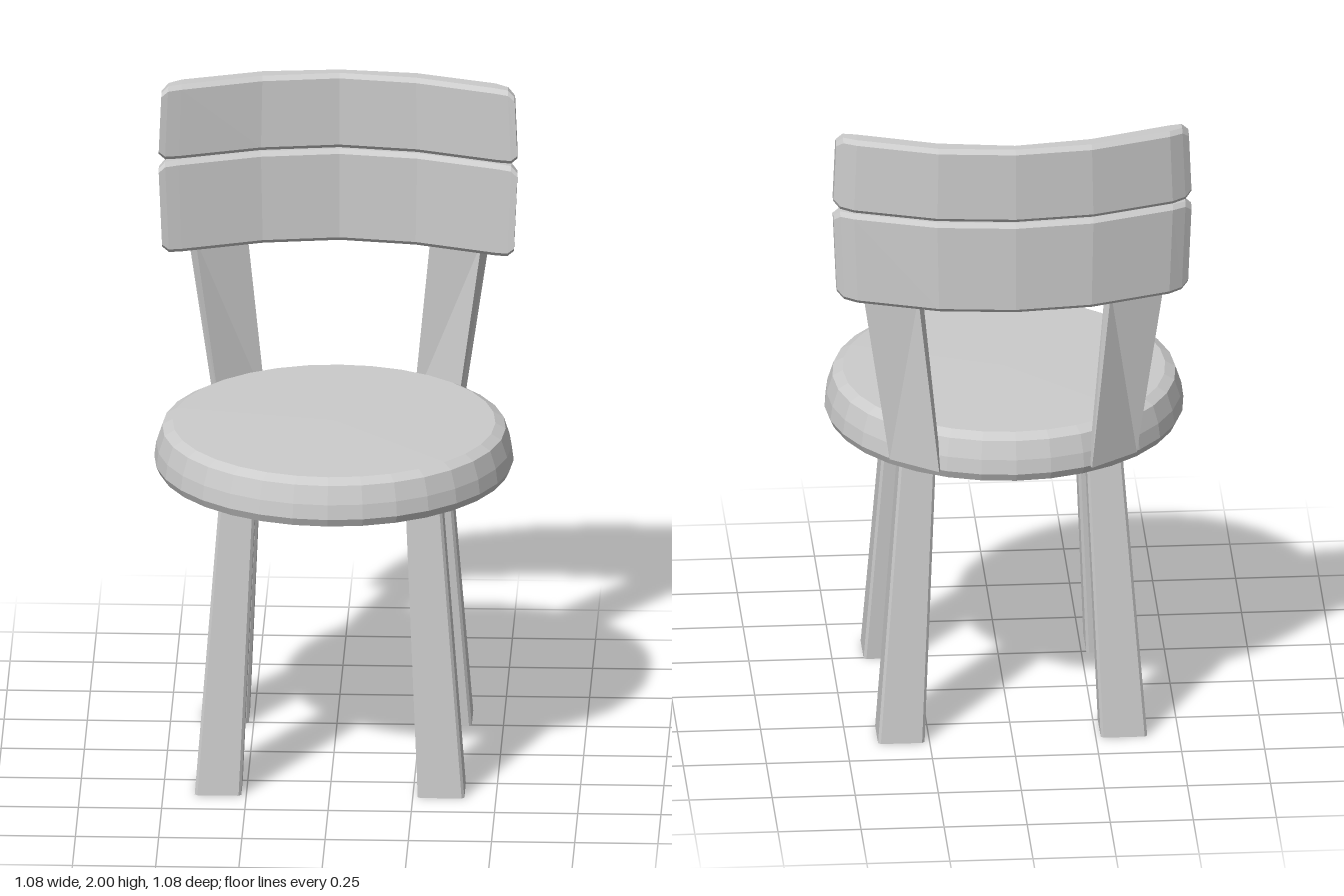
import * as THREE from 'three';

const material = new THREE.MeshStandardMaterial({ color: 0xcccccc, flatShading: true, side: THREE.DoubleSide });

// Skin a row of equal-sized rings (counter-clockwise about the direction of travel).
function loft(rings, capStart = true, capEnd = true) {
  const n = rings[0].length, last = (rings.length - 1) * n, index = [];
  for (let i = 0; i < rings.length - 1; i++) {
    for (let j = 0; j < n; j++) {
      const a = i * n + j, b = i * n + (j + 1) % n;
      index.push(a, b, b + n, a, b + n, a + n);
    }
  }
  for (let j = 1; j < n - 1; j++) {
    if (capStart) index.push(0, j + 1, j);
    if (capEnd) index.push(last, last + j, last + j + 1);
  }
  const geometry = new THREE.BufferGeometry();
  geometry.setAttribute('position', new THREE.Float32BufferAttribute(rings.flat(2), 3));
  geometry.setIndex(index);
  const flat = geometry.toNonIndexed();
  flat.computeVertexNormals();
  return flat;
}

// Horizontal rectangle with slightly chamfered corners.
function legRing(y, x0, x1, z0, z1, c = 0.008) {
  return [
    [x1 - c, y, z1], [x1, y, z1 - c], [x1, y, z0 + c], [x1 - c, y, z0],
    [x0 + c, y, z0], [x0, y, z0 + c], [x0, y, z1 - c], [x0 + c, y, z1],
  ];
}

// Half plan of the curved slats: x, front z, back z, chamfer, drop of the edges.
const plan = [
  [0, -0.463, -0.518, 0.013, 0],
  [0.235, -0.43, -0.495, 0.013, 0],
  [0.48, -0.347, -0.415, 0.013, 0],
  [0.52, -0.334, -0.389, 0.013, 0.002],
  [0.54, -0.33, -0.372, 0.01, 0.022],
];

function slat(bottom, top) {
  const stations = [
    ...plan.slice(1).reverse().map(([x, ...rest]) => [-x, ...rest]),
    ...plan,
  ];
  return loft(stations.map(([x, zf, zb, c, drop]) => {
    const t = top - drop, b = bottom + drop;
    return [
      [t, zb + c], [t, zf - c], [t - c, zf], [b + c, zf],
      [b, zf - c], [b, zb + c], [b + c, zb], [t - c, zb],
    ].map(([y, z]) => [x * (1 - 0.08 * Math.abs(y - 1.76)), y, z]); // ends lean in
  }));
}

export function createModel() {
  const group = new THREE.Group();
  const add = (name, geometry, sx = 1, sz = 1) => {
    const mesh = new THREE.Mesh(geometry, material);
    mesh.name = name;
    mesh.scale.set(sx, 1, sz);
    group.add(mesh);
  };

  // Round seat with softened rim
  const rim = [
    [0, 0.91], [0.5, 0.91], [0.528, 0.92], [0.54, 0.945],
    [0.534, 0.99], [0.516, 1.045], [0.485, 1.062], [0, 1.064],
  ].map(([r, y]) => new THREE.Vector2(r, y));
  add('seat', new THREE.LatheGeometry(rim, 32));

  // Splayed legs, open at the foot
  const leg = loft([
    legRing(0, 0.265, 0.405, 0.24, 0.383),
    legRing(0.93, 0.225, 0.333, 0.203, 0.313),
  ], false, true);
  // Twisted back posts, running from the seat rim to the lower slat
  const post = loft([
    [[0.355, 0.945, -0.378], [0.372, 0.945, -0.4], [0.23, 0.945, -0.505], [0.222, 0.945, -0.475]],
    [[0.43, 1.5, -0.375], [0.453, 1.5, -0.41], [0.29, 1.5, -0.46], [0.275, 1.5, -0.425]],
  ]);
  for (const [side, sx] of [['left', 1], ['right', -1]]) {
    add(side + 'FrontLeg', leg, sx, 1);
    add(side + 'BackLeg', leg, sx, -1);
    add(side + 'BackPost', post, sx);
  }

  // Curved backrest slats
  add('lowerSlat', slat(1.465, 1.758));
  add('upperSlat', slat(1.762, 2.0));

  return group;
}
